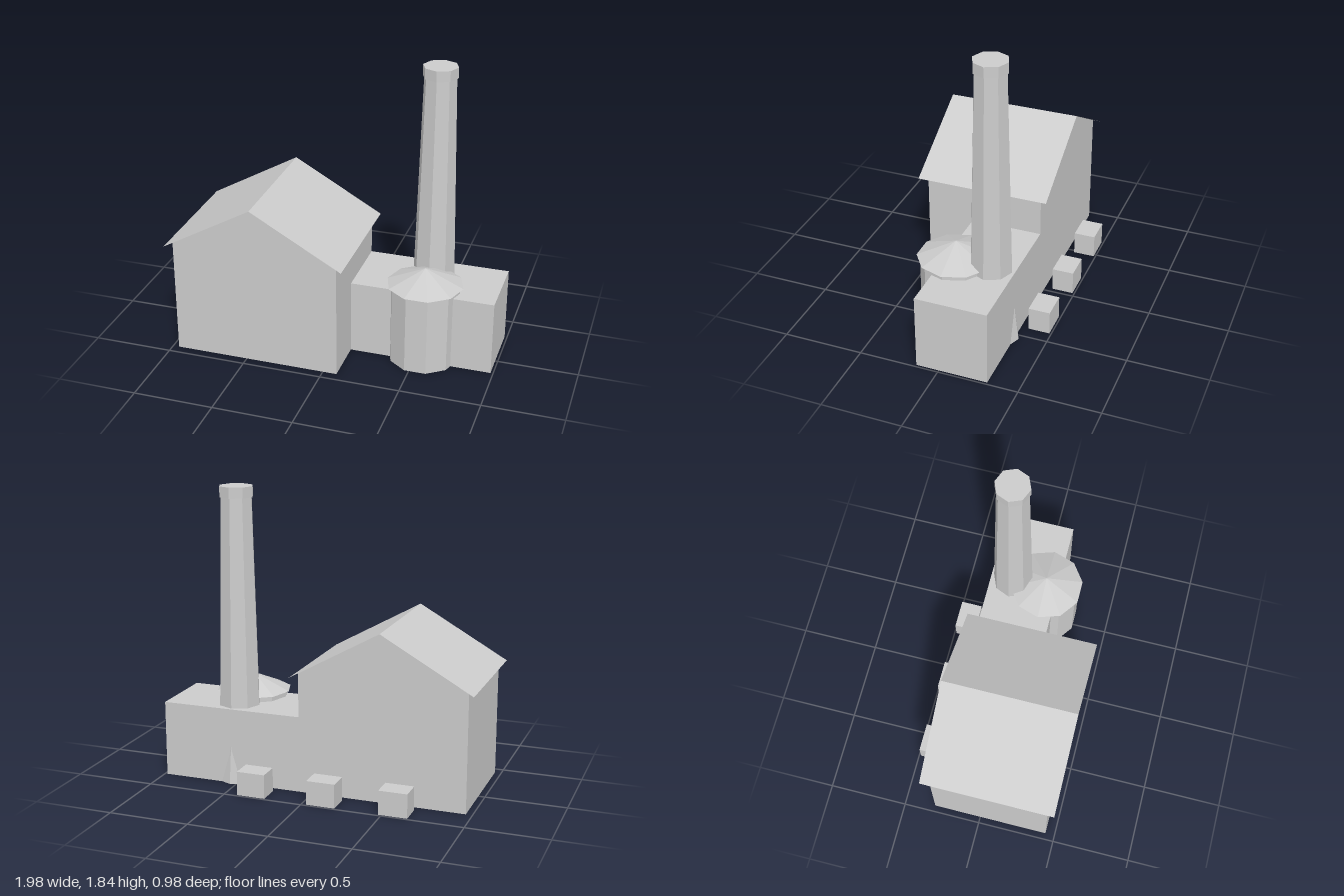
import * as THREE from 'three';

const concrete = new THREE.MeshStandardMaterial({
  color: 0xcccccc, flatShading: true, side: THREE.DoubleSide,
});
concrete.name = 'concreteGrey';

function part(name, geometry, parent, x = 0, y = 0, z = 0) {
  const mesh = new THREE.Mesh(geometry, concrete);
  mesh.name = name;
  mesh.position.set(x, y, z);
  parent.add(mesh);
  return mesh;
}

// Flat convex polygons, each a list of [x, y, z] corners
function polygons(list) {
  const pos = [];
  for (const p of list)
    for (let i = 1; i < p.length - 1; i++) pos.push(...p[0], ...p[i], ...p[i + 1]);
  const g = new THREE.BufferGeometry();
  g.setAttribute('position', new THREE.Float32BufferAttribute(pos, 3));
  g.computeVertexNormals();
  return g;
}

// Box without a floor, given by its limits and standing on y = 0
function shell(name, parent, x0, x1, h, z0, z1) {
  const g = new THREE.BoxGeometry(x1 - x0, h, z1 - z0);
  const index = Array.from(g.index.array);
  index.splice(18, 6); // bottom face
  g.setIndex(index);
  g.clearGroups();
  return part(name, g, parent, (x0 + x1) / 2, h / 2, (z0 + z1) / 2);
}

export function createModel() {
  const model = new THREE.Group();
  model.name = 'factory';

  // Gabled hall: one outline used for both gables and the side walls
  const L = -0.96, R = 0.088, M = -0.435, F = 0.44, B = -0.305, eave = 0.753, ridge = 1.05;
  const gable = z => [[L, 0, z], [R, 0, z], [R, eave, z], [M, ridge, z], [L, eave, z]];
  part('hallWalls', polygons([
    gable(F),
    gable(B).reverse(),
    [[R, 0, F], [R, 0, B], [R, eave, B], [R, eave, F]],
    [[L, 0, B], [L, 0, F], [L, eave, F], [L, eave, B]],
  ]), model);

  // Thin overhanging roof
  const rF = 0.488, rB = -0.352, rY = 0.731;
  part('hallRoof', polygons([
    [[M, ridge, rF], [0.132, rY, rF], [0.132, rY, rB], [M, ridge, rB]],
    [[M, ridge, rB], [-1, rY, rB], [-1, rY, rF], [M, ridge, rF]],
  ]), model);

  // Low annex, flush with the back of the hall
  shell('annex', model, R, 0.984, 0.477, B, 0.143);

  // Ten-sided tank with a conical roof
  const tank = new THREE.Group();
  tank.name = 'tank';
  tank.position.set(0.538, 0, 0.066);
  tank.rotation.y = Math.PI / 2;
  model.add(tank);
  part('tankWall', new THREE.CylinderGeometry(0.218, 0.218, 0.512, 10, 1, true), tank, 0, 0.256, 0);
  part('tankRoof', new THREE.ConeGeometry(0.238, 0.105, 10, 1, true), tank, 0, 0.5645, 0);

  // Eight-sided chimney with flared foot and a collar
  const profile = [
    [0.174, 0], [0.15, 0.2], [0.131, 0.477], [0.099, 1.77],
    [0.107, 1.77], [0.107, 1.836], [0, 1.836],
  ].map(([r, y]) => new THREE.Vector2(r, y));
  part('chimney', new THREE.LatheGeometry(profile, 8), model, 0.538, 0, -0.158);

  // Row of small boxes behind the back wall
  for (let i = 0; i < 3; i++) {
    const x = -0.658 + i * 0.449;
    shell('backUnit', model, x, x + 0.178, 0.15, -0.488, -0.352);
  }
  return model;
}
